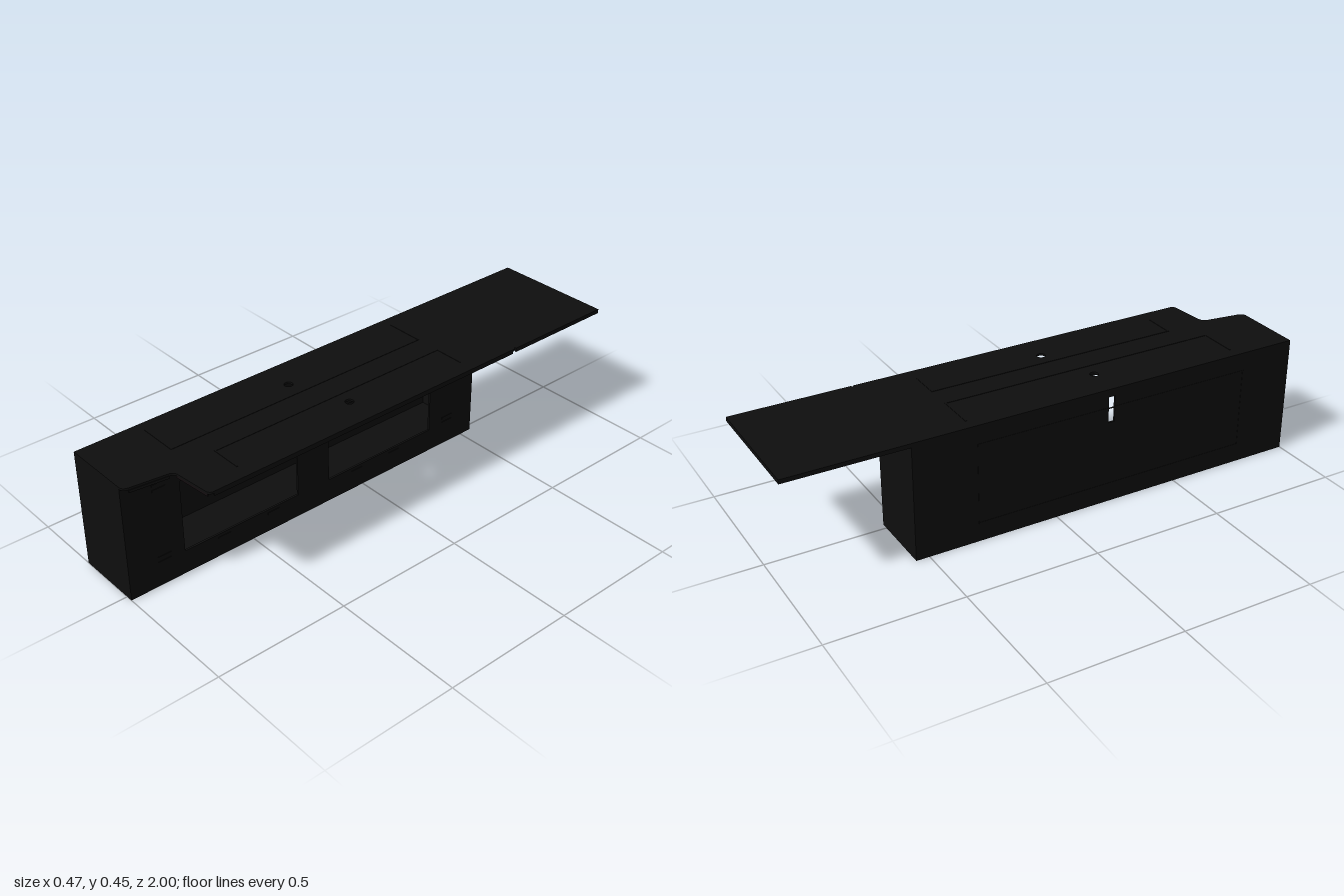
import * as THREE from 'three';

export function createModel() {
  const root = new THREE.Group();
  const black = new THREE.MeshStandardMaterial({ color: 0x0e0e0e });
  black.name = 'black sheet metal';
  const maroon = new THREE.MeshStandardMaterial({ color: 0x130d0f });
  maroon.name = 'dark maroon edge';

  const add = (name, geo, mat = black) => {
    const mesh = new THREE.Mesh(geo, mat);
    mesh.name = name;
    root.add(mesh);
    return mesh;
  };
  // box given by its minimum and maximum corners
  const box = (name, x0, x1, y0, y1, z0, z1, mat) => {
    const m = add(name, new THREE.BoxGeometry(x1 - x0, y1 - y0, z1 - z0), mat);
    m.position.set((x0 + x1) / 2, (y0 + y1) / 2, (z0 + z1) / 2);
    return m;
  };
  const rectPath = (u0, u1, v0, v1, Type = THREE.Path) => {
    const p = new Type();
    p.moveTo(u0, v0); p.lineTo(u1, v0); p.lineTo(u1, v1); p.lineTo(u0, v1); p.closePath();
    return p;
  };
  const circlePath = (x, z, r) => new THREE.Path().absarc(x, -z, r, 0, Math.PI * 2);
  const extrude = (shape, depth) =>
    new THREE.ExtrudeGeometry(shape, { depth, bevelEnabled: false, curveSegments: 16 });
  // horizontal sheet: shape drawn in (x, -z)
  const sheet = (name, shape, y, depth) =>
    add(name, extrude(shape, depth).rotateX(-Math.PI / 2).translate(0, y, 0));
  // upright side wall: shape drawn in (-z, y)
  const sideWall = (name, shape, x, depth) =>
    add(name, extrude(shape, depth).rotateY(Math.PI / 2).translate(x, 0, 0));

  const L = -0.235, R = 0.025, B = -0.55, F = 1, T = 0.442, t = 0.008;

  // hollow housing: window side, rear side with a slot, ends and floor
  const windows = [[0.30, 0.78], [-0.33, 0.16]];
  const front = rectPath(-F, -B, 0, T, THREE.Shape);
  for (const [z0, z1] of windows) front.holes.push(rectPath(-z1, -z0, 0.09, 0.37));
  sideWall('windowWall', front, R - t, t);

  const back = rectPath(-F, -B, 0, T, THREE.Shape);
  back.holes.push(rectPath(-0.23, -0.205, 0.32, 0.42));
  sideWall('closedWall', back, L, t);

  box('frontEnd', L + t, R - t, 0, T, F - t, F);
  box('backEnd', L + t, R - t, 0, T, B, B + t);

  const floor = rectPath(L + t, R - t, -F + t, -B - t, THREE.Shape);
  floor.holes.push(circlePath(-0.15, 0.857, 0.07));
  sheet('floor', floor, 0, t);

  // lid with rounded corners, a stepped front edge and two round holes
  const lid = new THREE.Shape();
  lid.moveTo(L, -F);
  lid.lineTo(0.025, -F);
  lid.quadraticCurveTo(0.045, -F, 0.048, -0.975);
  lid.lineTo(0.066, -0.845);
  lid.quadraticCurveTo(0.07, -0.825, 0.09, -0.823);
  lid.lineTo(0.215, -0.811);
  lid.quadraticCurveTo(0.235, -0.81, 0.235, -0.79);
  lid.lineTo(0.235, 0.535);
  lid.quadraticCurveTo(0.235, 0.55, 0.22, 0.55);
  lid.lineTo(L, 0.55);
  lid.closePath();
  lid.holes.push(circlePath(0.115, 0.14, 0.016), circlePath(-0.108, 0.224, 0.016));
  sheet('lid', lid, T, t);

  // turned-down lid edges
  box('lidSideFlange', 0.229, 0.235, 0.432, T, -0.535, 0.79);
  box('lidBackFlange', R, 0.22, 0.432, T, -0.55, -0.544);
  const lip = box('lidFrontFlange', 0.075, 0.224, 0.432, T, 0.81, 0.816, maroon);
  lip.rotation.y = 0.09;
  const corner = box('lidCornerFlange', 0.053, 0.059, 0.432, T, 0.84, 0.98);
  corner.rotation.y = -0.13;

  // overhanging rear plate
  box('rearPlate', L, 0.235, 0.438, 0.45, -1, B);
  box('rearPlateFlange', L, 0.235, 0.434, 0.438, -1, -0.994);
  for (const x of [L, 0.229]) box('rearPlateFlange', x, x + 0.006, 0.434, 0.438, -0.994, B);

  // fine seams on the lid
  const lidSeam = (x0, x1, z0, z1) => {
    box('lidSeam', x0, x1, 0.45, 0.4515, z0, z0 + 0.005);
    box('lidSeam', x0, x1, 0.45, 0.4515, z1 - 0.005, z1);
  };
  lidSeam(-0.19, -0.04, -0.33, 0.76);
  box('lidSeam', -0.045, -0.04, 0.45, 0.4515, -0.325, 0.755);
  lidSeam(0.055, 0.175, -0.33, 0.66);
  box('lidSeam', 0.055, 0.06, 0.45, 0.4515, -0.325, 0.655);

  // access panel outline on the closed wall
  for (const y of [0.07, 0.375]) box('panelSeam', L - 0.001, L, y, y + 0.005, -0.31, 0.79);
  for (const z of [-0.31, 0.785]) box('panelSeam', L - 0.001, L, 0.075, 0.375, z, z + 0.005);

  // paired tabs at the corners and single tabs around the windows
  for (const y of [0.09, 0.375]) {
    for (const z of [0.86, -0.42]) {
      for (const dy of [0, 0.02])
        box('cornerTab', R, R + 0.002, y + dy, y + dy + 0.008, z - 0.025, z + 0.025);
    }
    const ty = y < 0.2 ? 0.07 : 0.39;
    for (const z of [0.62, 0.41, 0.03, -0.15])
      box('windowTab', R, R + 0.002, ty, ty + 0.008, z - 0.025, z + 0.025);
  }

  return root;
}
